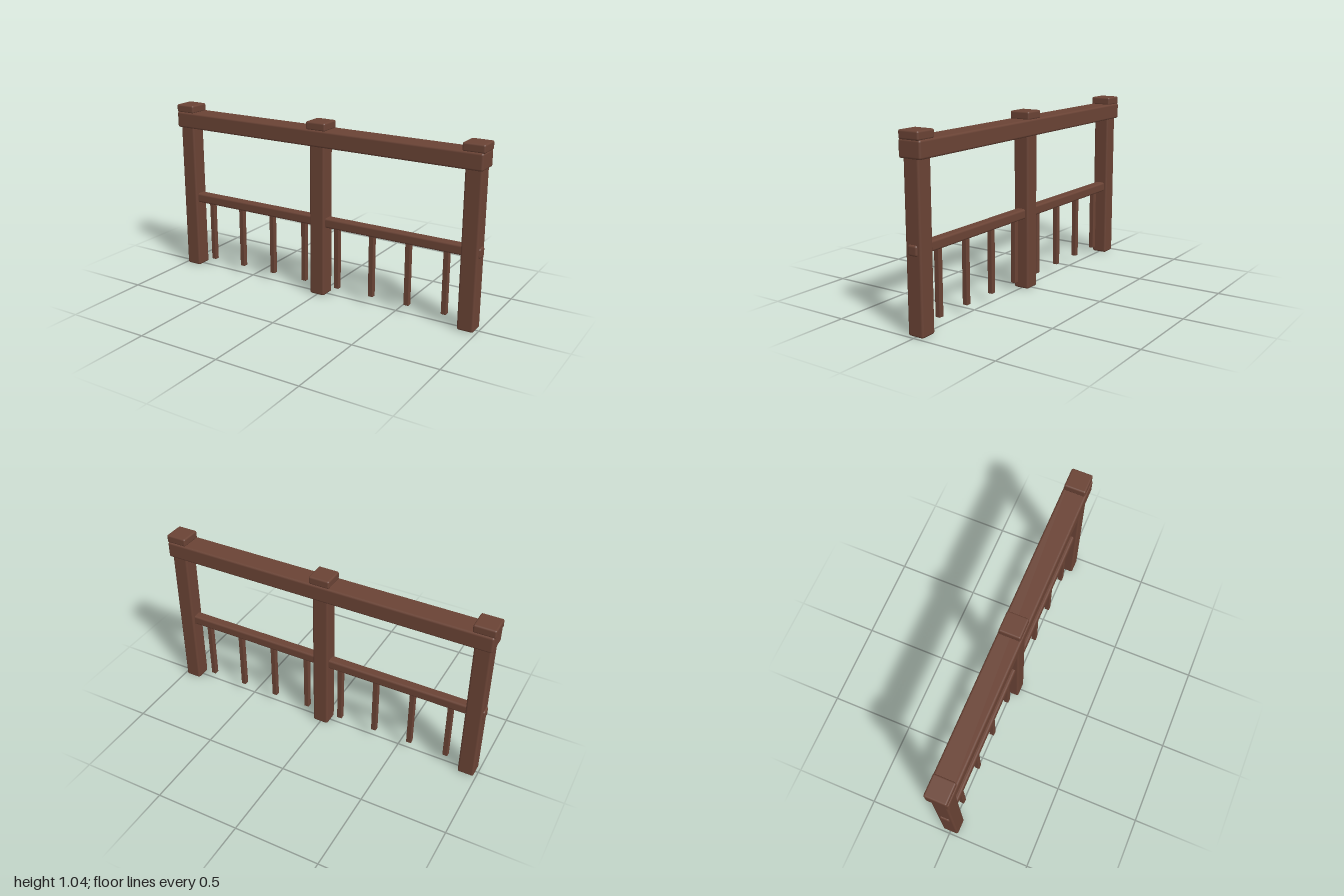
import * as THREE from 'three';
import { RoundedBoxGeometry } from 'three/addons/geometries/RoundedBoxGeometry.js';

export function createModel() {
  const model = new THREE.Group();
  model.name = 'railing';
  const wood = new THREE.MeshStandardMaterial({ color: 0x6a4335 });
  wood.name = 'brown wood';

  // Bevelled beam spanning y0..y1, centred on x and on z = 0
  function beam(name, x, y0, y1, width, depth, bevel) {
    const geometry = new RoundedBoxGeometry(width, y1 - y0, depth, 2, bevel);
    const mesh = new THREE.Mesh(geometry, wood);
    mesh.name = name;
    mesh.position.set(x, (y0 + y1) / 2, 0);
    model.add(mesh);
  }

  // Posts with caps above the handrail
  for (const x of [-0.9375, 0, 0.9375]) {
    beam('post', x, 0, 0.95, 0.096, 0.096, 0.012);
    beam('postCap', x, 0.992, 1.04, 0.125, 0.126, 0.01);
  }

  // Handrail and slimmer middle rail
  beam('handrail', 0, 0.9, 0.996, 1.99, 0.138, 0.012);
  beam('middleRail', 0, 0.42, 0.478, 1.99, 0.06, 0.012);

  // Hanging balusters, mirrored about the centre post
  for (const side of [-1, 1]) {
    for (let i = 0; i < 4; i++) {
      beam('baluster', side * (0.1135 + i * 0.2275), 0.052, 0.44, 0.031, 0.031, 0.004);
    }
  }
  return model;
}
